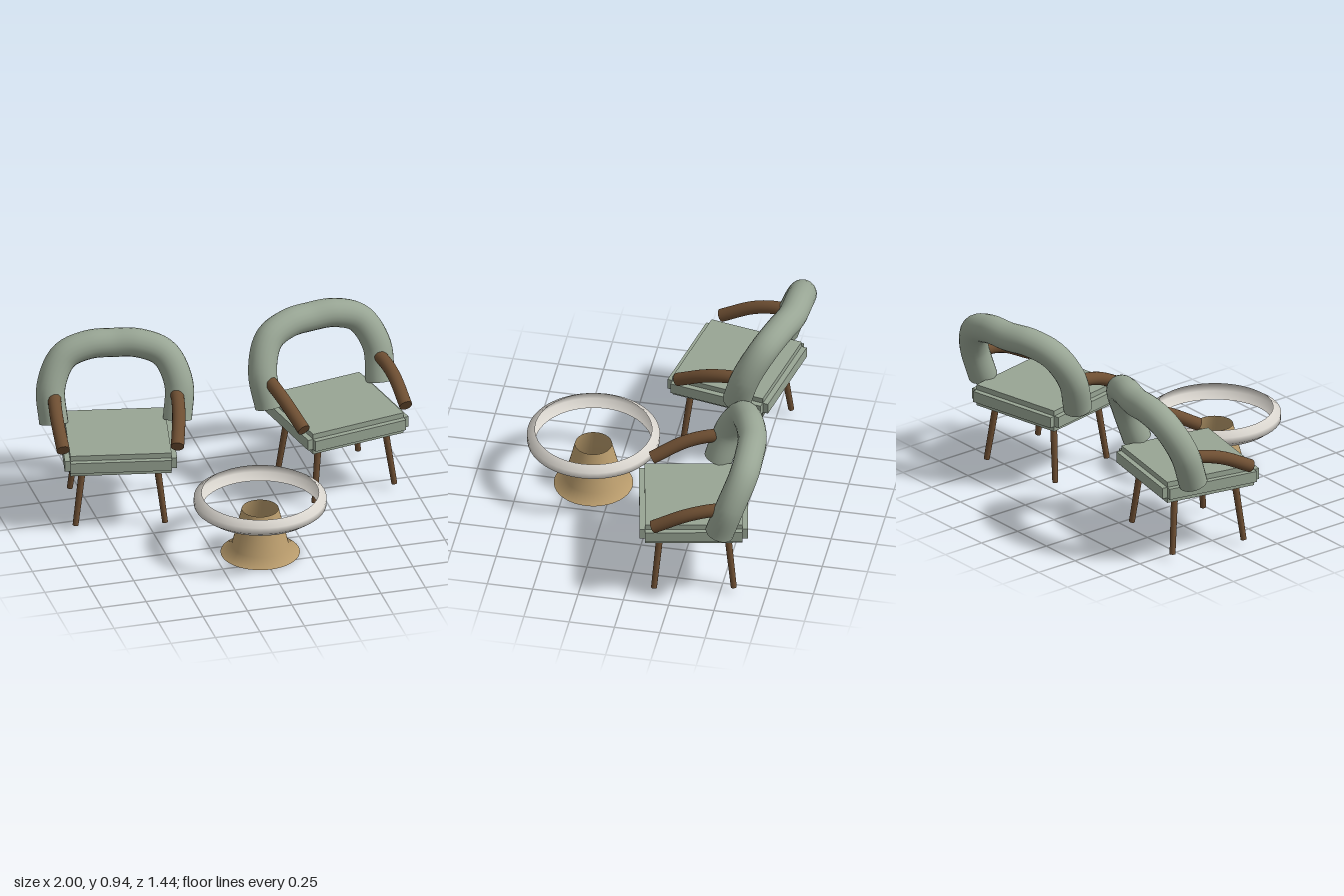
import * as THREE from 'three';

const mat = (name, color, side = THREE.FrontSide) => {
  const m = new THREE.MeshStandardMaterial({ color, side });
  m.name = name;
  return m;
};
const sage = mat('sage fabric', 0x98a594);
const wood = mat('brown wood', 0x6d4e32);
const tan = mat('tan pedestal', 0xb79a6b, THREE.DoubleSide);
const white = mat('off white', 0xd9d5ce, THREE.DoubleSide);

const V = (x, y, z) => new THREE.Vector3(x, y, z);
const UP = V(0, 1, 0);

function add(parent, name, geometry, material) {
  const mesh = new THREE.Mesh(geometry, material);
  mesh.name = name;
  parent.add(mesh);
  return mesh;
}

// Smooth tube through points, closed with a disc at each end
function cappedTube(name, points, radius, segments, material) {
  const group = new THREE.Group();
  group.name = name;
  const curve = new THREE.CatmullRomCurve3(points);
  add(group, name + 'Tube', new THREE.TubeGeometry(curve, segments, radius, 20), material);
  for (const t of [0, 1]) {
    const cap = add(group, name + 'Cap', new THREE.CircleGeometry(radius, 20), material);
    const dir = curve.getTangentAt(t).multiplyScalar(t ? 1 : -1);
    cap.position.copy(curve.getPointAt(t));
    cap.quaternion.setFromUnitVectors(V(0, 0, 1), dir);
  }
  return group;
}

// Tapered cylinder between two points
function rod(parent, name, bottom, top, rBottom, rTop, material) {
  const dir = top.clone().sub(bottom);
  const mesh = add(parent, name, new THREE.CylinderGeometry(rTop, rBottom, dir.length(), 14), material);
  mesh.position.copy(bottom).add(top).multiplyScalar(0.5);
  mesh.quaternion.setFromUnitVectors(UP, dir.normalize());
}

function createChair(name) {
  const chair = new THREE.Group();
  chair.name = name;

  // Seat cushion: three crossed boxes give stepped edges
  const W = 0.61, H = 0.122, D = 0.588, s = 0.06;
  [[W, H - s, D - s], [W - s, H, D - s], [W - s, H - s, D]].forEach((size, i) => {
    add(chair, 'seat' + (i + 1), new THREE.BoxGeometry(...size), sage).position.y = 0.416;
  });

  // Arched backrest
  const half = [
    V(0.336, 0.472, -0.137), V(0.347, 0.66, -0.198),
    V(0.274, 0.807, -0.268), V(0.14, 0.856, -0.303),
  ];
  const other = half.map(p => V(-p.x, p.y, p.z)).reverse();
  chair.add(cappedTube('backrest', [...half, V(0, 0.857, -0.318), ...other], 0.079, 48, sage));

  for (const sx of [-1, 1]) {
    // Armrest sweeping down to the front
    const arm = [V(0.31, 0.492, 0.222), V(0.33, 0.58, 0.05), V(0.334, 0.615, -0.07), V(0.33, 0.628, -0.19)];
    chair.add(cappedTube('armrest', arm.map(p => V(p.x * sx, p.y, p.z)), 0.036, 20, wood));
    // Splayed legs
    for (const sz of [-1, 1]) {
      rod(chair, 'leg', V(0.243 * sx, 0.03, 0.216 * sz), V(0.2025 * sx, 0.36, 0.183 * sz), 0.016, 0.019, wood);
    }
  }
  return chair;
}

function lathe(points) {
  return new THREE.LatheGeometry(points.map(p => new THREE.Vector2(...p)), 48);
}

export function createModel() {
  const model = new THREE.Group();
  model.name = 'chairsAndTable';

  // Two chairs turned towards the table
  for (const side of [-1, 1]) {
    const chair = createChair(side > 0 ? 'leftChair' : 'rightChair');
    chair.position.set(0.615 * side, 0, -0.3125);
    chair.rotation.y = 0.2 * side;
    model.add(chair);
  }

  // Side table: open rim above a flared hollow pedestal
  const table = new THREE.Group();
  table.name = 'table';
  table.position.z = 0.36;
  add(table, 'tableRim', lathe([[0.317, 0.265], [0.36, 0.297], [0.36, 0.334], [0.317, 0.362]]), white);
  add(table, 'pedestal', lathe([[0.215, 0], [0.155, 0.045], [0.1, 0.265]]), tan);
  model.add(table);

  return model;
}
